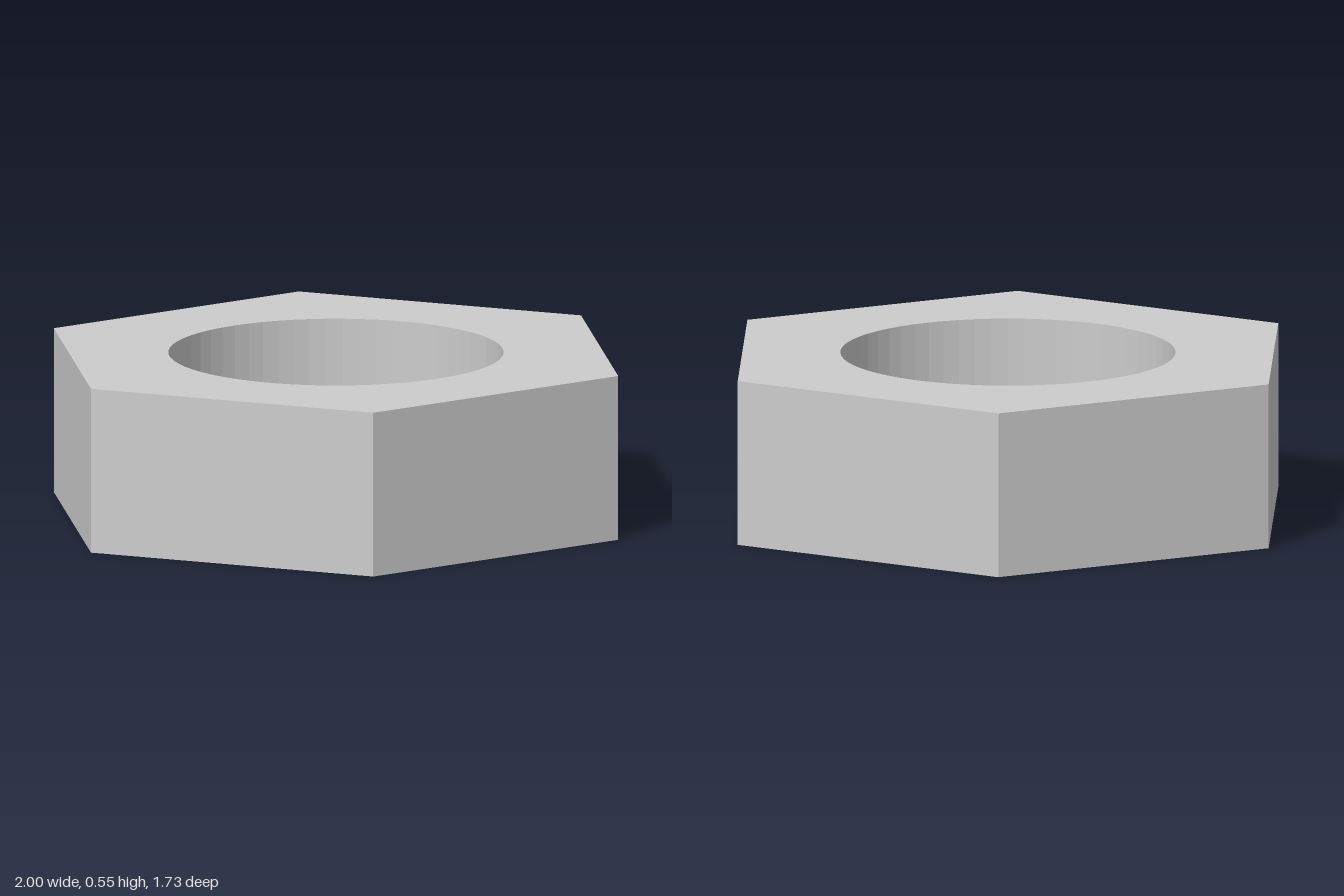
import * as THREE from 'three';

const RADIUS = 1;        // centre to corner
const BORE = 0.547;      // hole radius
const HEIGHT = 0.545;

export function createModel() {
  const group = new THREE.Group();
  group.name = 'hexNut';

  // Hexagon outline with corners on the x axis
  const corners = Array.from({ length: 6 }, (_, i) => {
    const a = (i * Math.PI) / 3;
    return new THREE.Vector2(RADIUS * Math.cos(a), RADIUS * Math.sin(a));
  });
  const outline = new THREE.Shape(corners);

  // Round bore through the middle
  const bore = new THREE.Path();
  bore.absarc(0, 0, BORE, 0, Math.PI * 2, true);
  outline.holes.push(bore);

  // Extrude, then lay flat so the thickness runs up from y = 0
  const geometry = new THREE.ExtrudeGeometry(outline, {
    depth: HEIGHT,
    bevelEnabled: false,
    curveSegments: 32,
  });
  geometry.rotateX(-Math.PI / 2);

  const material = new THREE.MeshStandardMaterial({ color: 0xcccccc, flatShading: true });
  const body = new THREE.Mesh(geometry, material);
  body.name = 'nutBody';
  group.add(body);
  return group;
}
